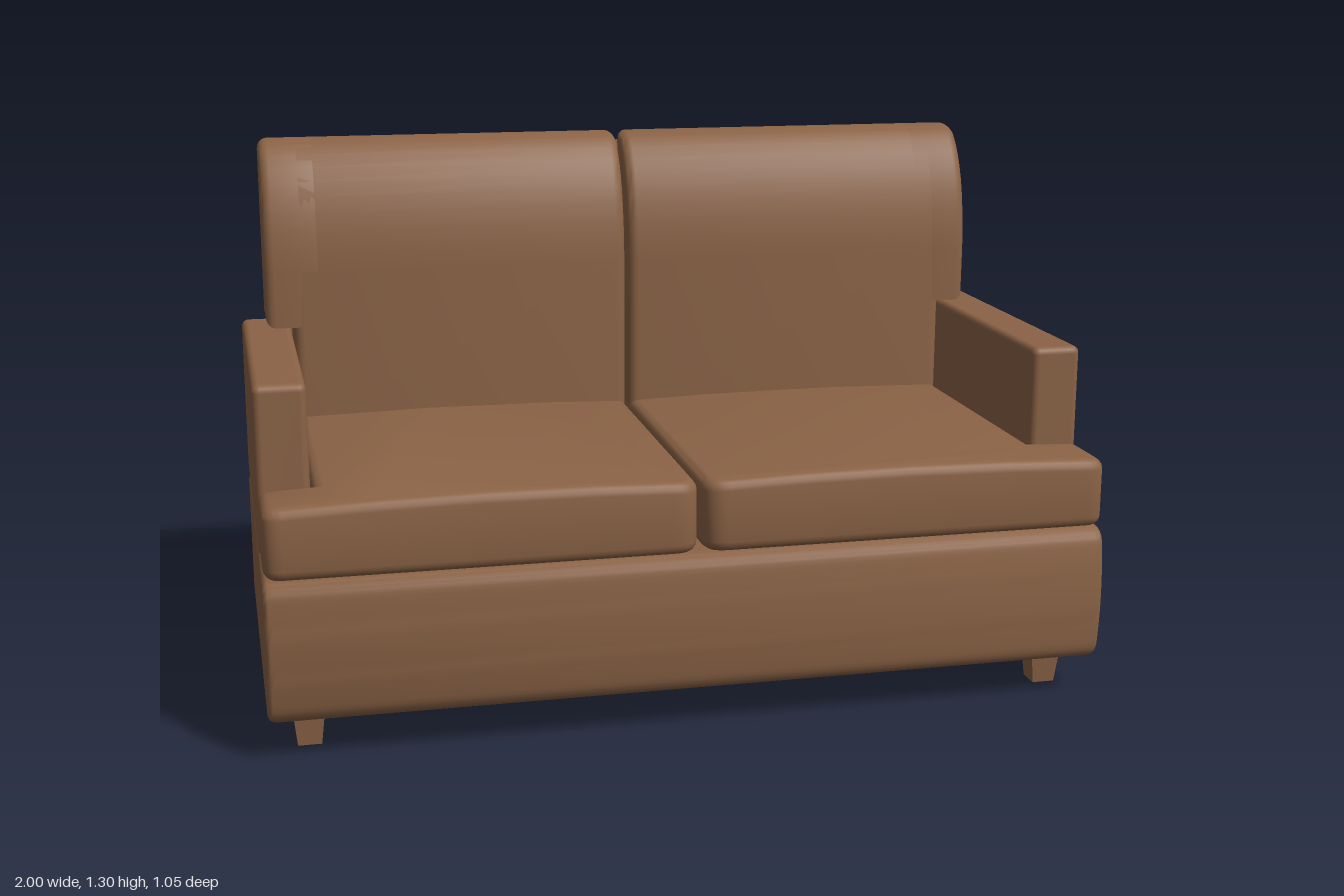
import * as THREE from 'three';
import { toCreasedNormals } from 'three/addons/utils/BufferGeometryUtils.js';
import { RoundedBoxGeometry } from 'three/addons/geometries/RoundedBoxGeometry.js';

const fabric = new THREE.MeshStandardMaterial({ color: 0x8b6346 });

// Polygon of [x, y, radius] corners, each rounded when it has a radius.
function roundedShape(corners) {
  const pts = corners.map(([x, y]) => new THREE.Vector2(x, y));
  const shape = new THREE.Shape();
  pts.forEach((p, i) => {
    const r = corners[i][2] || 0;
    const toward = (q) => p.clone().add(q.clone().sub(p).setLength(r));
    const a = toward(pts[(i + pts.length - 1) % pts.length]);
    const b = toward(pts[(i + 1) % pts.length]);
    if (i === 0) shape.moveTo(a.x, a.y);
    else shape.lineTo(a.x, a.y);
    if (r) shape.quadraticCurveTo(p.x, p.y, b.x, b.y);
  });
  shape.closePath();
  return shape;
}

// Extrusion from 0 to length whose bevel stays inside the outline.
function softExtrude(shape, length, bevel) {
  return new THREE.ExtrudeGeometry(shape, {
    depth: length - 2 * bevel, curveSegments: 8, bevelEnabled: true,
    bevelThickness: bevel, bevelSize: bevel, bevelOffset: -bevel, bevelSegments: 4,
  }).translate(0, 0, bevel);
}

// Side profile drawn as (-z, y), swept from x0 to x1.
function sweepX(shape, x0, x1, bevel) {
  return softExtrude(shape, x1 - x0, bevel).rotateY(Math.PI / 2).translate(x0, 0, 0);
}

// Back cushion side profile: upright face curling over to the top.
function backProfile(bottom) {
  const s = new THREE.Shape();
  s.moveTo(0.485, bottom);
  s.lineTo(0.485, 1.305);
  s.lineTo(0.465, 1.304);
  s.quadraticCurveTo(0.44, 1.3, 0.42, 1.29);
  s.quadraticCurveTo(0.32, 1.2, 0.315, 0.98);
  s.lineTo(0.317, bottom);
  s.closePath();
  return s;
}

// Seat cushion widening in front of the arm, with a slightly crowned top.
function seatCushion(side) {
  const plan = [
    [0.004, -0.515, 0.06], [0.25, -0.515], [0.5, -0.515], [0.75, -0.515],
    [0.996, -0.515, 0.045], [0.996, -0.332, 0.03], [0.872, -0.332],
    [0.872, 0.48], [0.5, 0.48], [0.25, 0.48], [0.004, 0.48],
  ].map(([x, y, r]) => [side * x, y, r]);
  const geo = softExtrude(roundedShape(plan), 0.18, 0.025);
  geo.rotateX(-Math.PI / 2).translate(0, 0.43, 0);
  const pos = geo.attributes.position;
  for (let i = 0; i < pos.count; i++) {
    const k = (Math.abs(pos.getX(i)) - 0.45) / 0.55;
    if (pos.getY(i) > 0.52) pos.setY(i, pos.getY(i) - 0.015 * k * k);
  }
  return geo;
}

export function createModel() {
  const group = new THREE.Group();
  const add = (name, geometry, smooth = true) => {
    const mesh = new THREE.Mesh(smooth ? toCreasedNormals(geometry, 0.65) : geometry, fabric);
    mesh.name = name;
    group.add(mesh);
    return mesh;
  };

  // Base with a bulging front
  const base = roundedShape([
    [0.485, 0.09, 0.04], [0.485, 0.427, 0.04], [-0.508, 0.427, 0.045],
    [-0.53, 0.26, 0.11], [-0.508, 0.09, 0.045],
  ]);
  add('base', sweepX(base, -1, 1, 0.02));

  // Flat panel behind the sofa
  add('backPanel', new THREE.BoxGeometry(1.8, 1.155, 0.037).translate(0, 0.6975, -0.5065), false);

  for (const side of [1, -1]) {
    const label = side > 0 ? 'left' : 'right';
    const span = (a, b) => (side > 0 ? [a, b] : [-b, -a]);

    add(label + 'SeatCushion', seatCushion(side));

    // Back cushion: body between the arms, plus an ear resting on the arm
    add(label + 'BackCushion', sweepX(backProfile(0.57), ...span(0.004, 0.87), 0.025));
    add(label + 'BackCushionEar', sweepX(backProfile(0.837), ...span(0.78, 0.94), 0.025));

    // Arm
    add(label + 'Arm', new RoundedBoxGeometry(0.123, 0.405, 0.81, 3, 0.018)
      .translate(side * 0.9375, 0.6325, -0.08), false);

    // Tapered square feet
    for (const [end, z] of [['Front', 0.378], ['Back', -0.39]]) {
      const foot = new THREE.CylinderGeometry(0.054, 0.039, 0.1, 4).toNonIndexed();
      foot.rotateY(Math.PI / 4).translate(side * 0.905, 0.05, z);
      foot.computeVertexNormals();
      add(label + end + 'Foot', foot, false);
    }
  }
  return group;
}
